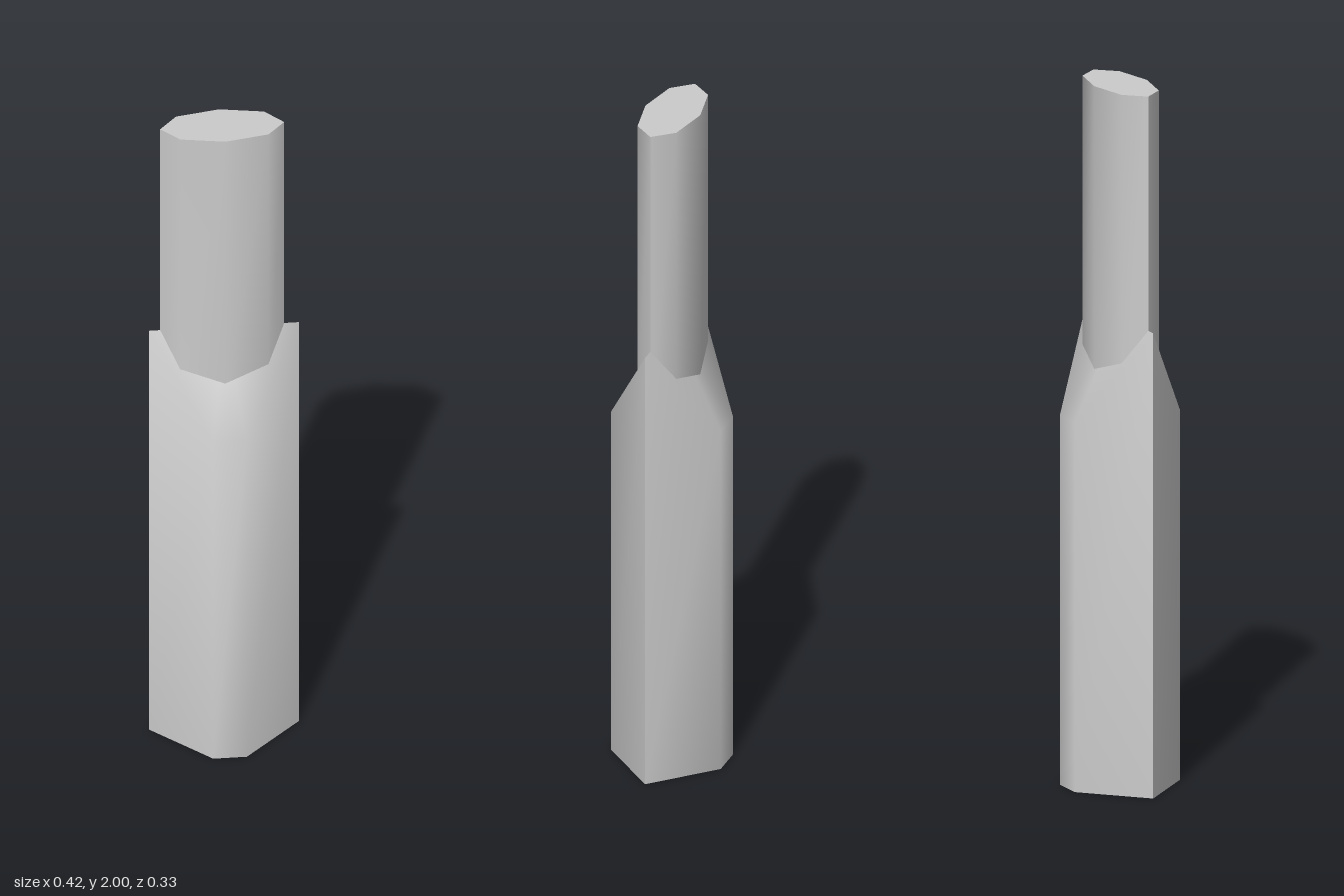
import * as THREE from 'three';
import { toCreasedNormals } from 'three/addons/utils/BufferGeometryUtils.js';

// Prism standing on a convex outline of [x, z] corners, listed by rising angle from +x towards +z.
// topAt(z) gives the height of the top cap.
function prism(name, outline, bottom, topAt, material) {
  const n = outline.length;
  const geometry = new THREE.CylinderGeometry(1, 1, 1, n);
  const p = geometry.attributes.position;
  for (let i = 0; i < p.count; i++) {
    const x = p.getX(i), z = p.getZ(i), isTop = p.getY(i) > 0;
    let corner = [0, 0];
    if (Math.hypot(x, z) > 0.5) {
      // cylinder corners start at +z and turn towards +x
      const k = Math.round((Math.atan2(x, z) / (2 * Math.PI)) * n);
      corner = outline[(((n - k) % n) + n) % n];
    }
    p.setXYZ(i, corner[0], isTop ? topAt(corner[1]) : bottom, corner[1]);
  }
  const mesh = new THREE.Mesh(toCreasedNormals(geometry, 1), material);
  mesh.name = name;
  return mesh;
}

export function createModel() {
  const group = new THREE.Group();
  group.name = 'model';
  const material = new THREE.MeshStandardMaterial({ color: 0xcccccc });

  // Thick six-sided body whose top slopes up to a ridge along x.
  // Outlines begin at the front middle or front corner and turn towards -x.
  const w = 0.209, f = 0.047, d = 0.163;
  const body = [[f, d], [-f, d], [-w, 0], [-f, -d], [f, -d], [w, 0]];
  group.add(prism('body', body, 0, (z) => 1.33 - (Math.abs(z) / d) * 0.275, material));

  // Thin eight-sided shaft, rising from inside the body
  const shaft = [
    [-0.005, 0.081], [-0.128, 0.057], [-0.178, 0], [-0.128, -0.058],
    [-0.005, -0.082], [0.118, -0.058], [0.168, 0], [0.118, 0.057],
  ];
  group.add(prism('shaft', shaft, 1.1, () => 2, material));

  return group;
}
